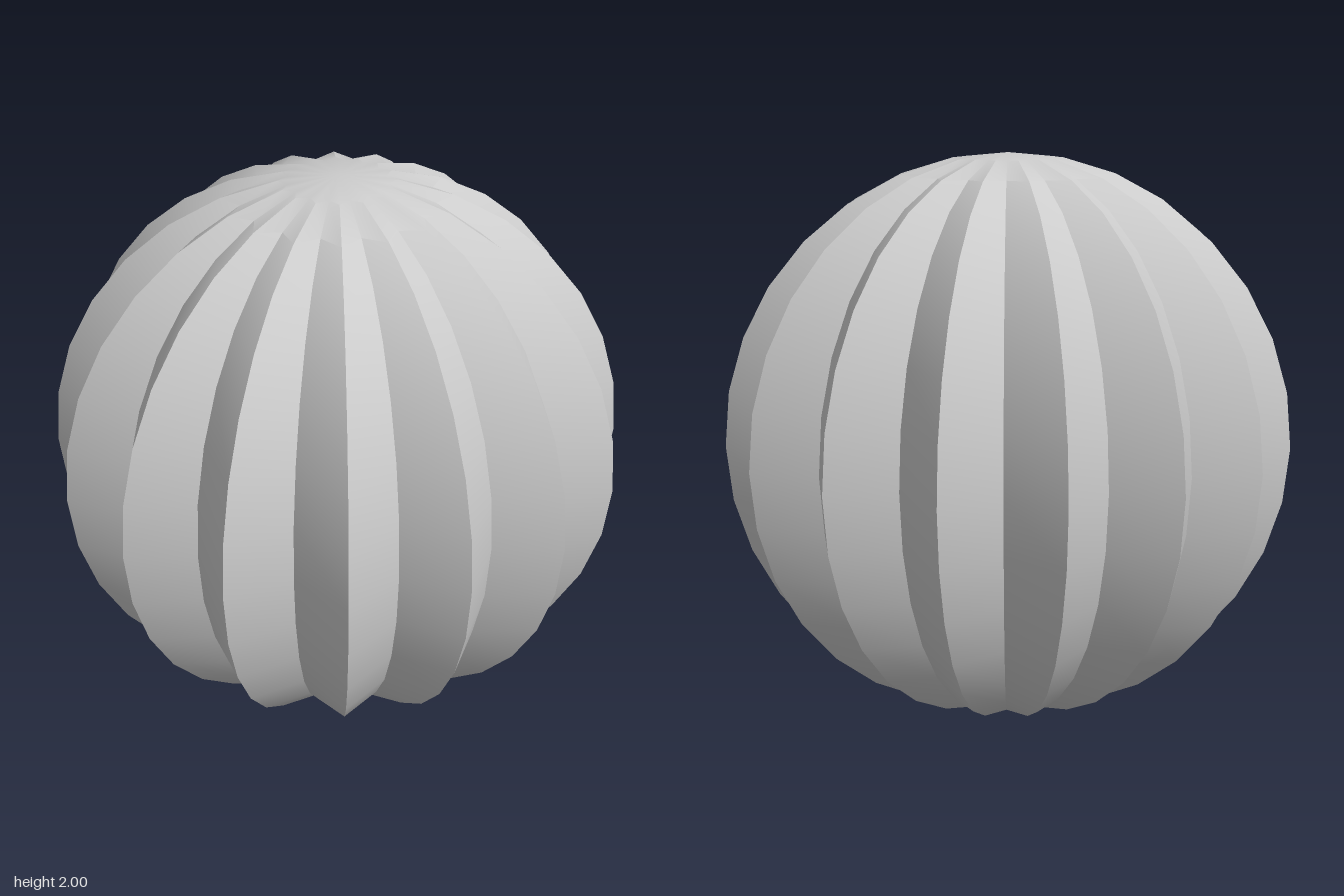
import * as THREE from 'three';
import { toCreasedNormals } from 'three/addons/utils/BufferGeometryUtils.js';

const RIBS = 16;
const VALLEY = 0.846; // valley radius relative to the ridges

export function createModel() {
  const group = new THREE.Group();
  group.name = 'flutedSphere';

  // Sphere with one column of vertices per ridge and one per valley
  const columns = RIBS * 2;
  const sphere = new THREE.SphereGeometry(1, columns, 16);
  const pos = sphere.attributes.position;

  // Pull every second column in towards the vertical axis, keeping its height
  for (let i = 0; i < pos.count; i++) {
    const isValley = (i % (columns + 1)) % 2 === 1;
    if (isValley) pos.setXYZ(i, pos.getX(i) * VALLEY, pos.getY(i), pos.getZ(i) * VALLEY);
  }

  // Sharp ridges and valleys, smooth from pole to pole
  const geometry = toCreasedNormals(sphere, Math.PI / 6);
  const body = new THREE.Mesh(geometry, new THREE.MeshStandardMaterial({ color: 0xcccccc }));
  body.name = 'ribbedBody';
  body.position.y = 1;
  group.add(body);

  return group;
}
